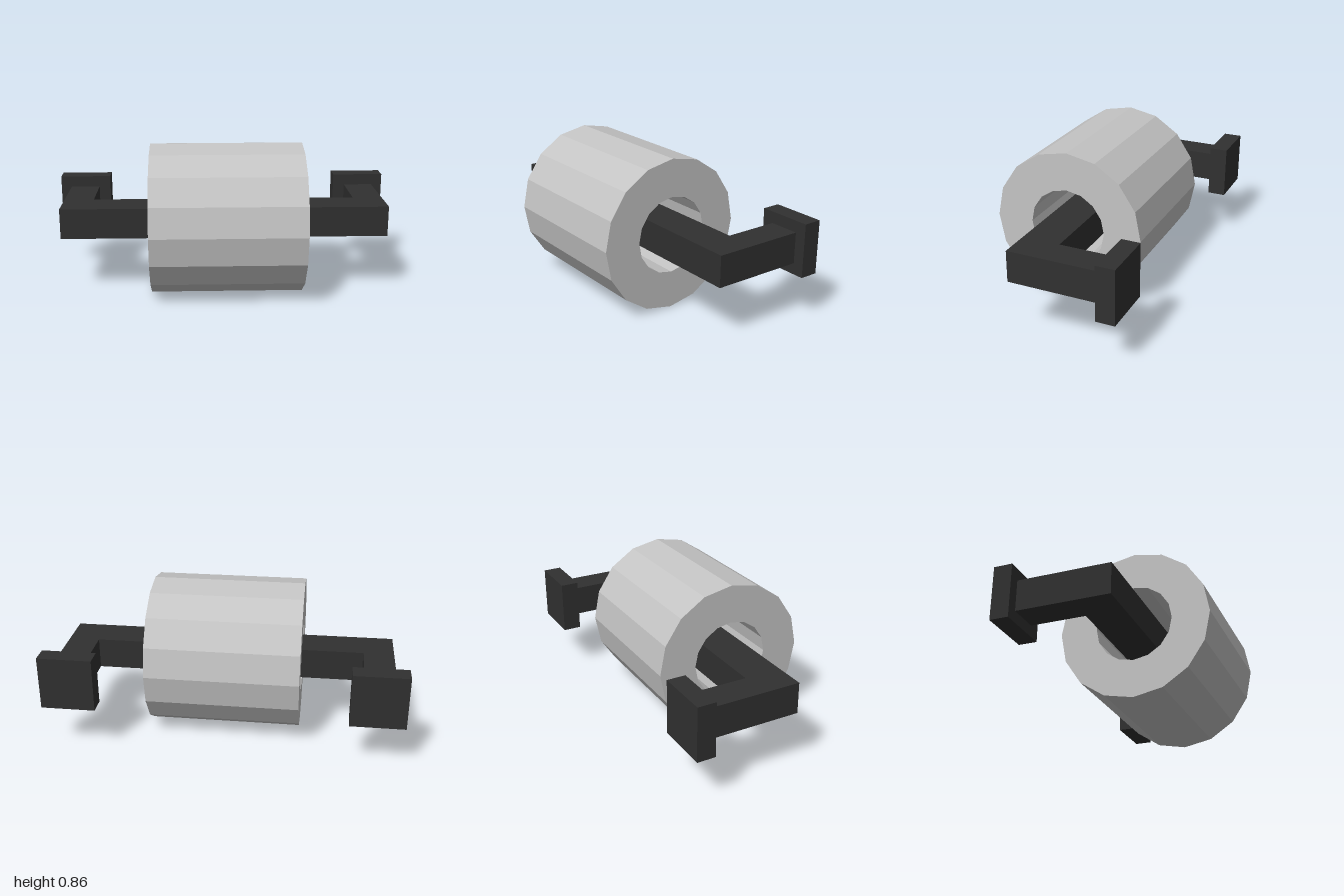
import * as THREE from 'three';

const SIDES = 16;

// Regular polygon outline with corners on the axes
function ring(radius) {
  return Array.from({ length: SIDES }, (_, i) => {
    const a = (i / SIDES) * Math.PI * 2;
    return new THREE.Vector2(Math.cos(a) * radius, Math.sin(a) * radius);
  });
}

// Box given by its minimum and maximum corners
function box(name, min, max, material) {
  const size = max.map((v, i) => v - min[i]);
  const mesh = new THREE.Mesh(new THREE.BoxGeometry(...size), material);
  mesh.position.set(...max.map((v, i) => (v + min[i]) / 2));
  mesh.name = name;
  return mesh;
}

export function createModel() {
  const group = new THREE.Group();
  group.name = 'rollHolder';
  const paper = new THREE.MeshStandardMaterial({ color: 0xc4c4c4, flatShading: true });
  paper.name = 'paper grey';
  const metal = new THREE.MeshStandardMaterial({ color: 0x303030, flatShading: true });
  metal.name = 'dark metal';

  // Hollow roll lying along x
  const shape = new THREE.Shape(ring(0.431));
  shape.holes.push(new THREE.Path(ring(0.218).reverse()));
  const geometry = new THREE.ExtrudeGeometry(shape, { depth: 0.86, bevelEnabled: false });
  geometry.rotateY(Math.PI / 2);
  const roll = new THREE.Mesh(geometry, paper);
  roll.position.set(-0.42, 0.432, 0.053);
  roll.name = 'roll';
  group.add(roll);

  // Bar through the roll, between the two arms
  group.add(box('bar', [-0.765, 0.33, -0.07], [0.765, 0.505, 0.14], metal));

  // Arm and wall plate at each end
  for (const [side, s] of [['left', 1], ['right', -1]]) {
    const mirrored = (name, x0, x1, y0, y1, z0, z1) =>
      box(side + name, [Math.min(s * x0, s * x1), y0, z0], [Math.max(s * x0, s * x1), y1, z1], metal);
    group.add(mirrored('Arm', 0.765, 0.937, 0.33, 0.505, -0.38, 0.14));
    group.add(mirrored('WallPlate', 0.697, 1, 0.267, 0.57, -0.484, -0.38));
  }
  return group;
}
